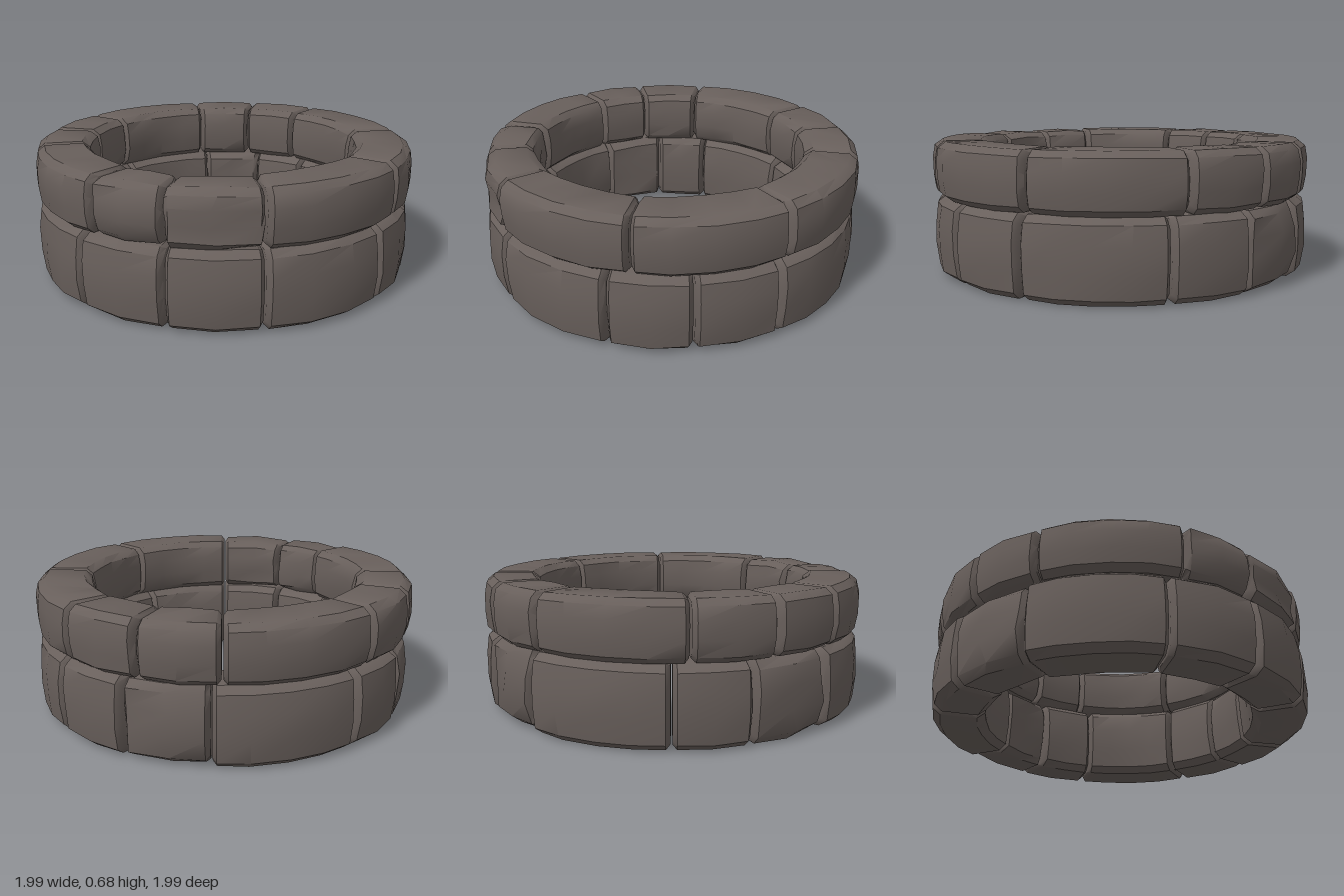
import * as THREE from 'three';
import { toCreasedNormals } from 'three/addons/utils/BufferGeometryUtils.js';

const DEG = Math.PI / 180;

function seeded(seed) {
  let s = seed;
  return () => {
    s = (s * 1664525 + 1013904223) % 4294967296;
    return s / 4294967296 - 0.5;
  };
}

// Bevelled block section as [radius, height], counter-clockwise
function blockSection(r0, r1, y0, y1, b) {
  const low = y0 + (y1 - y0) * 0.36, high = y0 + (y1 - y0) * 0.68;
  return [
    [r0 + b, y0], [r1 - b, y0], [r1 - b * 0.25, y0 + b * 0.6],
    [r1, low], [r1, high], [r1 - b * 0.25, y1 - b * 0.6],
    [r1 - b, y1], [r0 + b, y1], [r0 + b * 0.25, y1 - b * 0.6],
    [r0, high], [r0, low], [r0 + b * 0.25, y0 + b * 0.6],
  ];
}

// Curved stone from angle a0 to a1 (degrees from the front towards the left)
function stoneGeometry(section, a0, a1, rough, rand) {
  const n = section.length;
  const cr = section.reduce((t, p) => t + p[0], 0) / n;
  const cy = section.reduce((t, p) => t + p[1], 0) / n;
  const span = a1 - a0, gap = 0.25;
  const steps = Math.max(2, Math.round(span / 11));
  // Pinched ends give the stone its rounded corners
  const stations = [[a0 + gap, 0.035], [a0 + 1.5, 0.006]];
  for (let i = 1; i < steps; i++) stations.push([a0 + span * i / steps, 0]);
  stations.push([a1 - 1.5, 0.006], [a1 - gap, 0.035]);

  const pos = [], index = [];
  for (const [a, inset] of stations) {
    for (const [r, y] of section) {
      // Wear only cuts inwards, so the ring keeps its outer size
      const cut = inset + Math.abs(rand()) * rough;
      const rr = r - Math.sign(r - cr) * cut;
      const yy = y - Math.sign(y - cy) * (inset * 0.5 + Math.abs(rand()) * rough * 0.35);
      const t = (a + (inset ? 0 : rand() * rough * 60)) * DEG;
      pos.push(rr * Math.sin(t), yy, rr * Math.cos(t));
    }
  }
  const last = (stations.length - 1) * n;
  for (let s = 0; s < stations.length - 1; s++) {
    for (let i = 0; i < n; i++) {
      const j = (i + 1) % n;
      const p = s * n + i, q = s * n + j;
      index.push(p, p + n, q + n, p, q + n, q);
    }
  }
  for (let i = 1; i < n - 1; i++) {
    index.push(0, i, i + 1, last, last + i + 1, last + i);
  }
  const geo = new THREE.BufferGeometry();
  geo.setAttribute('position', new THREE.Float32BufferAttribute(pos, 3));
  geo.setIndex(index);
  return toCreasedNormals(geo, 38 * DEG);
}

export function createModel() {
  const model = new THREE.Group();
  model.name = 'stoneRing';
  const stone = new THREE.MeshStandardMaterial({ color: 0x685f5b });
  stone.name = 'dark stone';
  const rand = seeded(41);

  // Each course lists its seams and the stones that are badly worn
  const courses = [
    {
      name: 'lowerCourse', section: blockSection(0.69, 1.0, 0.005, 0.405, 0.055),
      seams: [0, 24, 49, 90, 114, 139, 181, 203, 229, 268, 295, 322, 360],
      worn: [4, 7],
    },
    {
      name: 'upperCourse', section: blockSection(0.69, 1.0, 0.4, 0.69, 0.05),
      seams: [7, 51, 95, 119, 142, 186, 210, 232, 273, 295, 322, 367],
      worn: [8, 9],
    },
  ];
  for (const { name, section, seams, worn } of courses) {
    const course = new THREE.Group();
    course.name = name;
    for (let i = 0; i < seams.length - 1; i++) {
      const rough = worn.includes(i) ? 0.06 : 0.014;
      const geo = stoneGeometry(section, seams[i], seams[i + 1], rough, rand);
      const mesh = new THREE.Mesh(geo, stone);
      mesh.name = `${name}Stone${i + 1}`;
      course.add(mesh);
    }
    model.add(course);
  }
  return model;
}
